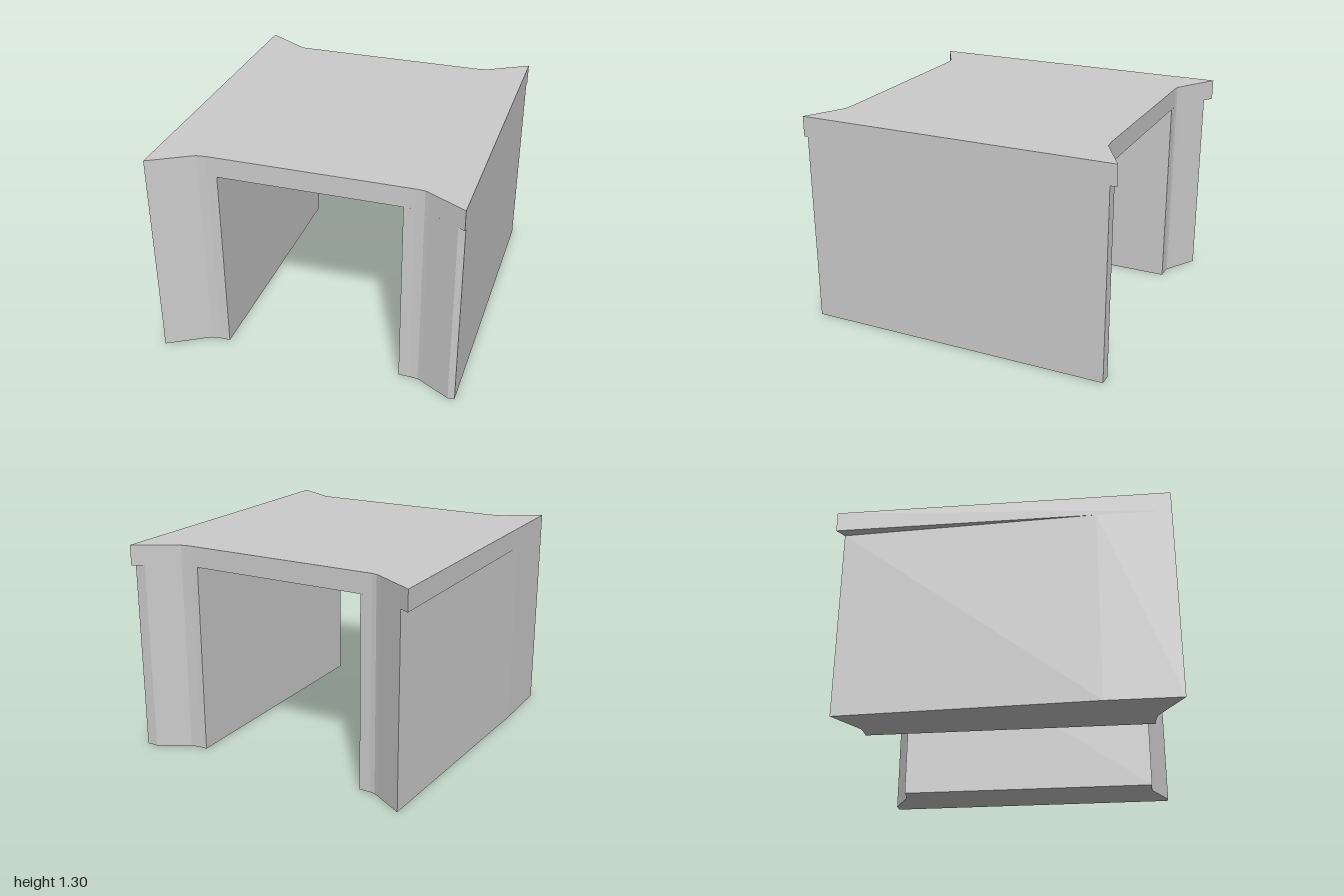
import * as THREE from 'three';

const TOP = 1.305;       // upper face of the deck
const UNDERSIDE = 1.18;  // lower face of the deck, top of the walls

const material = new THREE.MeshStandardMaterial({ color: 0xcccccc, flatShading: true });

// Upright prism over a plan outline of [x, z] points
function prism(name, plan, bottom, top) {
  const shape = new THREE.Shape(plan.map(([x, z]) => new THREE.Vector2(x, -z)));
  const geometry = new THREE.ExtrudeGeometry(shape, { depth: top - bottom, bevelEnabled: false });
  geometry.rotateX(-Math.PI / 2).translate(0, bottom, 0);
  const mesh = new THREE.Mesh(geometry, material);
  mesh.name = name;
  return mesh;
}

export function createModel() {
  const group = new THREE.Group();
  group.name = 'culvert';

  // Rounded-in shoulders where the flared corners meet the straight ends
  const frontRight = [[-0.69, 0.865], [-0.665, 0.853], [-0.61, 0.845]];
  const frontLeft = [[0.615, 0.834], [0.67, 0.838], [0.695, 0.85]];
  const backLeft = [[0.7, -0.873], [0.66, -0.85], [0.59, -0.842]];
  const backRight = [[-0.62, -0.833], [-0.65, -0.837], [-0.68, -0.854]];

  // Deck slab with four flared corners
  group.add(prism('deckSlab', [
    [-0.92, 1], ...frontRight, ...frontLeft, [0.92, 0.97],
    [0.92, -1], ...backLeft, ...backRight, [-0.92, -1],
  ], UNDERSIDE, TOP));

  // Left wall, its outer corners trimmed under the deck
  group.add(prism('leftWall', [
    [0.55, 0.835], ...frontLeft, [0.88, 0.949], [0.92, 0.945],
    [0.92, -0.96], [0.85, -0.96], ...backLeft, [0.55, -0.841],
  ], 0, UNDERSIDE));

  // Right wall, its outer face drawn in towards the back
  group.add(prism('rightWall', [
    [-0.92, 1], ...frontRight, [-0.55, 0.844],
    [-0.55, -0.834], ...backRight, [-0.86, -0.962], [-0.92, 0.56],
  ], 0, UNDERSIDE));

  return group;
}
